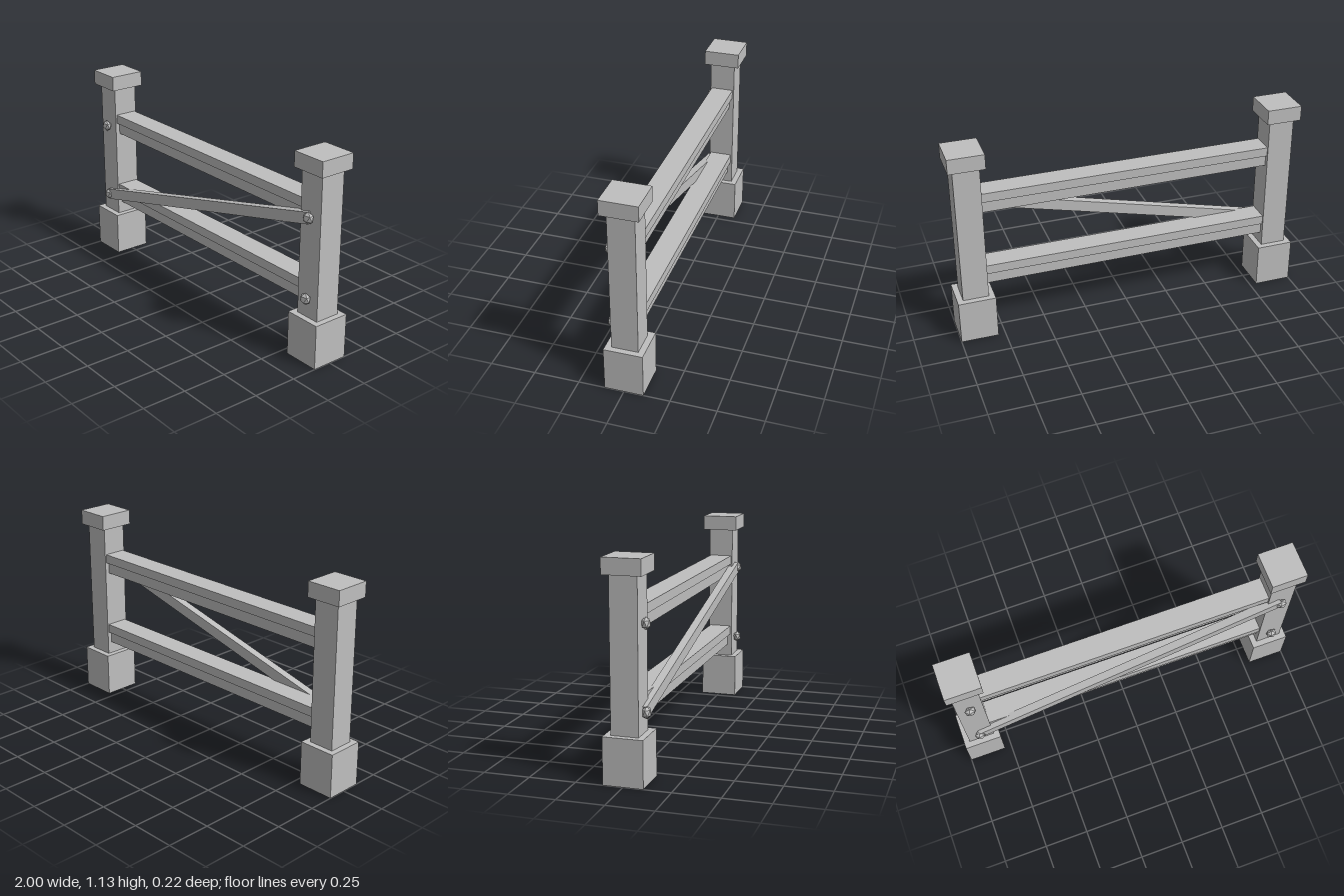
import * as THREE from 'three';

export function createModel() {
  const model = new THREE.Group();
  model.name = 'fenceSection';
  const grey = new THREE.MeshStandardMaterial({ color: 0xbfbfbf });
  grey.name = 'plainGrey';
  const postX = 0.895;

  function add(parent, name, geometry, x, y, z) {
    const mesh = new THREE.Mesh(geometry, grey);
    mesh.name = name;
    mesh.position.set(x, y, z);
    parent.add(mesh);
    return mesh;
  }
  // Box given by its width, depth and bottom and top heights
  function block(parent, name, w, d, y0, y1, x = 0) {
    return add(parent, name, new THREE.BoxGeometry(w, y1 - y0, d), x, (y0 + y1) / 2, 0);
  }

  // Bolt head: faceted ball with a corner straight up, flattened front to back
  const boltGeometry = new THREE.IcosahedronGeometry(0.034, 0);
  boltGeometry.rotateZ(Math.atan(2 / (1 + Math.sqrt(5))));
  boltGeometry.scale(1, 1, 0.7);
  boltGeometry.computeVertexNormals();

  // Posts with footing, cap and two bolts each
  for (const [side, s] of [['left', 1], ['right', -1]]) {
    const post = new THREE.Group();
    post.name = side + 'Post';
    block(post, 'footing', 0.21, 0.212, 0, 0.25, s * postX);
    block(post, 'shaft', 0.145, 0.145, 0.25, 1.05, s * postX);
    block(post, 'cap', 0.2, 0.204, 1.05, 1.135, s * postX);
    for (const y of [0.36, 0.807]) add(post, 'bolt', boltGeometry, s * postX, y, 0.09);
    model.add(post);
  }

  // Rails: a wide top board over a narrower beam
  for (const [level, y] of [['lower', 0.32], ['upper', 0.767]]) {
    const rail = new THREE.Group();
    rail.name = level + 'Rail';
    block(rail, 'railBeam', 1.65, 0.094, y, y + 0.068);
    block(rail, 'railBoard', 1.65, 0.128, y + 0.068, y + 0.12);
    model.add(rail);
  }

  // Diagonal brace between opposite bolts
  const rise = 0.807 - 0.36;
  const length = Math.hypot(2 * postX, rise);
  const brace = add(model, 'diagonalBrace', new THREE.BoxGeometry(length, 0.063, 0.045), 0, 0.36 + rise / 2, 0.0725);
  brace.rotation.z = Math.atan2(rise, 2 * postX);

  return model;
}
